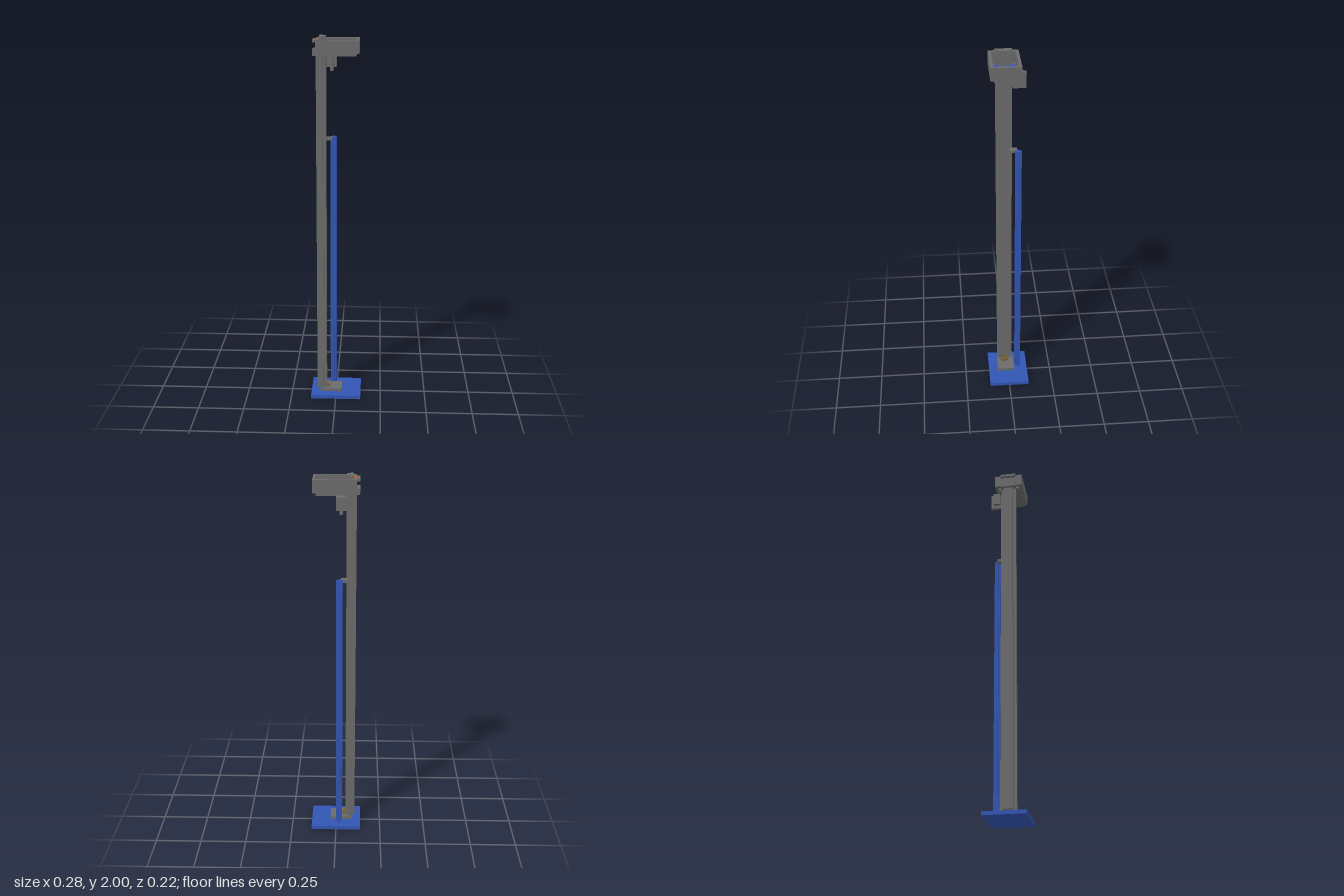
import * as THREE from 'three';

export function createModel() {
  const model = new THREE.Group();
  const mat = (name, color) => {
    const m = new THREE.MeshStandardMaterial({ color });
    m.name = name;
    return m;
  };
  const grey = mat('metal grey', 0x6c6c6c);
  const blue = mat('paint blue', 0x3356b4);
  const orange = mat('signal orange', 0xc05a20);
  const brown = mat('bronze brown', 0x7c6238);

  // Box given by its limits on each axis
  const box = (name, material, [x0, x1], [y0, y1], [z0, z1]) => {
    const mesh = new THREE.Mesh(new THREE.BoxGeometry(x1 - x0, y1 - y0, z1 - z0), material);
    mesh.position.set((x0 + x1) / 2, (y0 + y1) / 2, (z0 + z1) / 2);
    mesh.name = name;
    model.add(mesh);
    return mesh;
  };

  // Horizontal plate extruded upward from an outline in x and z
  const plate = (name, material, shape, y, height) => {
    const geo = new THREE.ExtrudeGeometry(shape, { depth: height, bevelEnabled: false });
    geo.rotateX(-Math.PI / 2);
    const mesh = new THREE.Mesh(geo, material);
    mesh.position.y = y;
    mesh.name = name;
    model.add(mesh);
  };
  const outline = (points) => new THREE.Shape(points.map(([x, z]) => new THREE.Vector2(x, -z)));
  const rect = (x0, x1, z0, z1) => outline([[x0, z0], [x0, z1], [x1, z1], [x1, z0]]);

  // Base and foot
  box('basePlate', blue, [-0.138, 0.138], [0, 0.02], [-0.112, 0.112]);
  box('footPlate', grey, [-0.088, 0.032], [0.02, 0.037], [-0.035, 0.06]);
  box('footBlock', brown, [-0.054, -0.036], [0.037, 0.054], [-0.003, 0.036]);
  box('footMark', brown, [-0.054, -0.0515], [0.054, 0.066], [0.002, 0.03]);

  // Ribbed column with a cross-shaped section
  box('columnWeb', grey, [-0.088, -0.07], [0.035, 2], [-0.027, 0.058]);
  box('columnFrontRib', grey, [-0.07, -0.053], [0.035, 2], [-0.01, 0.041]);
  box('columnRearRib', grey, [-0.105, -0.088], [0.035, 1.985], [-0.01, 0.041]);
  box('columnMark', orange, [-0.104, -0.088], [1.984, 1.987], [-0.004, 0.034]);

  // Clamps on the outer side of the head
  box('upperClamp', grey, [-0.121, -0.1035], [1.97, 1.9845], [-0.027, 0.058]);
  box('lowerClamp', grey, [-0.121, -0.088], [1.903, 1.936], [-0.027, 0.058]);

  // Open tray head
  const rim = rect(-0.104, 0.119, -0.061, 0.093);
  rim.holes.push(rect(-0.087, 0.104, -0.045, 0.077));
  plate('trayWalls', grey, rim, 1.917, 0.068);
  box('trayFloor', grey, [-0.087, 0.104], [1.902, 1.92], [-0.045, 0.077]);
  box('trayInlay', blue, [-0.07, 0.03], [1.92, 1.922], [-0.045, 0.077]);
  plate('trayPad', grey, outline([
    [0.104, -0.045], [0.014, -0.045], [0.006, -0.032], [-0.012, -0.025], [-0.018, -0.012],
    [-0.018, 0.044], [-0.012, 0.057], [0.006, 0.064], [0.014, 0.077], [0.104, 0.077],
  ]), 1.922, 0.002);

  // Upright rod with a cross-shaped section, and its bracket
  box('rodWide', blue, [-0.035, -0.001], [0.02, 1.465], [-0.063, -0.051]);
  box('rodDeep', blue, [-0.024, -0.012], [0.02, 1.465], [-0.074, -0.04]);
  box('rodBracket', grey, [-0.06, -0.024], [1.45, 1.464], [-0.052, -0.012]);

  // Hanging block below the tray
  box('hangerBody', grey, [-0.053, -0.001], [1.834, 1.903], [-0.079, -0.042]);
  box('hangerFin', grey, [-0.035, -0.018], [1.816, 1.903], [-0.095, -0.025]);

  return model;
}
